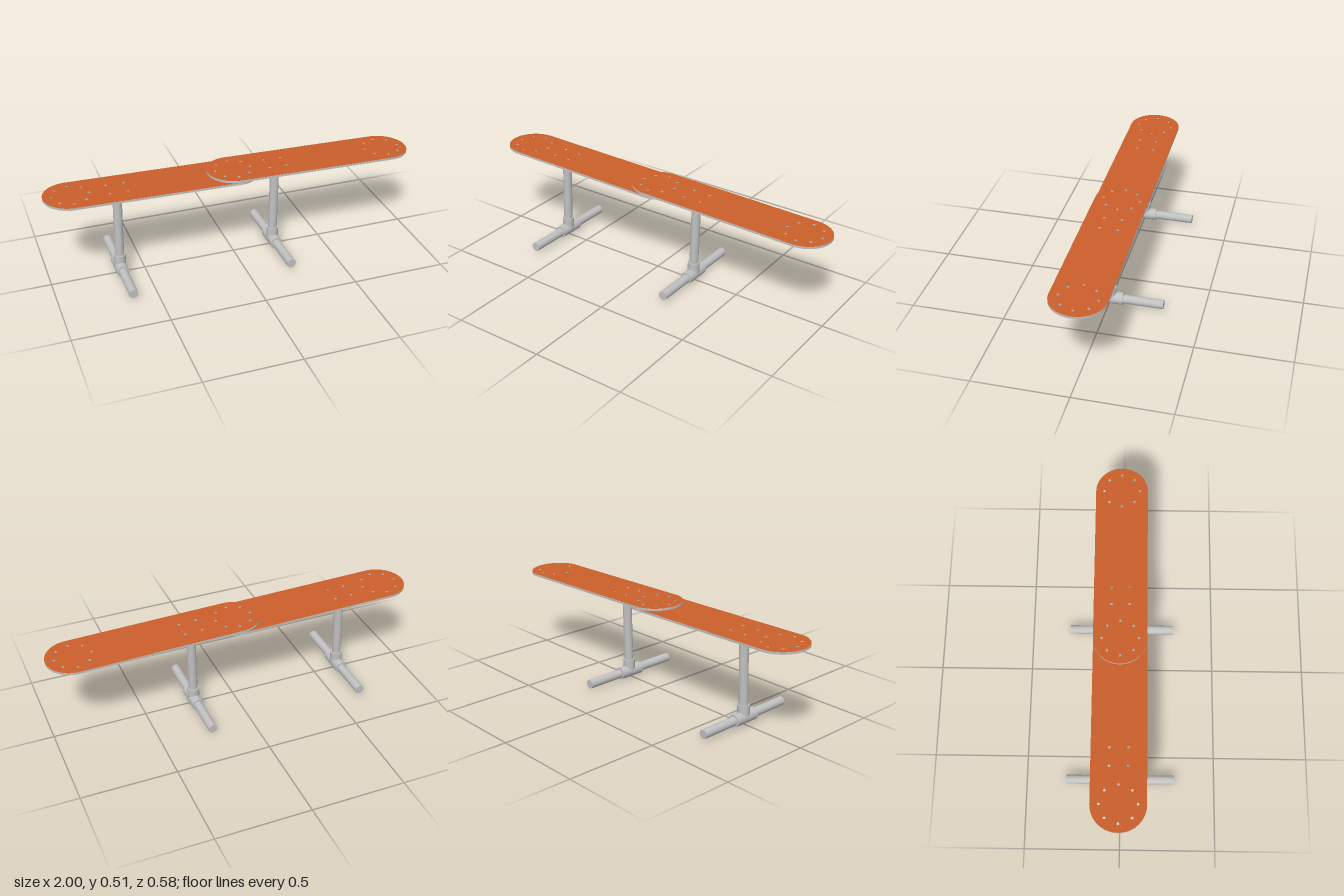
import * as THREE from 'three';

const WIDTH = 0.28, THICK = 0.011, TOP = 0.461;   // board size, and top height above the foot bar axis
const END_L = -0.237, END_R = 0.623;              // centres of the rounded board ends
const TILT_X = -0.012, YAW = 0.003, TILT_Z = -0.02;

const metal = new THREE.MeshStandardMaterial({ color: 0xc0c0c0 });
metal.name = 'light grey';
const orange = new THREE.MeshStandardMaterial({ color: 0xcb5f2b });
orange.name = 'orange';

function add(group, name, geometry, material) {
  const mesh = new THREE.Mesh(geometry, material);
  mesh.name = name;
  group.add(mesh);
  return mesh;
}

// Stadium outline with a ring of eight holes at each end and four mounting holes
function boardShape() {
  const r = WIDTH / 2;
  const shape = new THREE.Shape();
  shape.absarc(END_R, 0, r, -Math.PI / 2, Math.PI / 2, false);
  shape.absarc(END_L, 0, r, Math.PI / 2, Math.PI * 1.5, false);
  shape.closePath();

  const drill = (x, y) => {
    const hole = new THREE.Path();
    hole.absarc(x, y, 0.007, 0, Math.PI * 2, true);
    shape.holes.push(hole);
  };
  for (const cx of [END_L, END_R]) {
    for (let i = 0; i < 8; i++) {
      const a = (i * Math.PI) / 4;
      drill(cx + 0.096 * Math.cos(a), 0.096 * Math.sin(a));
    }
  }
  for (const x of [-0.047, 0.047]) for (const y of [-0.047, 0.047]) drill(x, y);
  return shape;
}

// One bench section: board, flange, post and T-shaped foot, origin on the foot bar axis
function createSection(name) {
  const section = new THREE.Group();
  section.name = name;
  const shape = boardShape();

  const slab = new THREE.ExtrudeGeometry(shape, { depth: THICK, bevelEnabled: false, curveSegments: 32 });
  slab.rotateX(-Math.PI / 2).translate(0, TOP - 0.001 - THICK, 0);
  add(section, 'board', slab, metal);

  const surface = new THREE.ShapeGeometry(shape, 32);
  surface.rotateX(-Math.PI / 2).translate(0, TOP, 0);
  add(section, 'boardSurface', surface, orange);

  // Square flange tapering down to the post
  const flange = new THREE.CylinderGeometry(0.046 * Math.SQRT2, 0.026 * Math.SQRT2, 0.025, 4).toNonIndexed();
  flange.rotateY(Math.PI / 4);
  flange.computeVertexNormals();
  add(section, 'flange', flange, metal).position.y = TOP - 0.0245;

  add(section, 'post', new THREE.CylinderGeometry(0.024, 0.024, 0.42, 40), metal).position.y = 0.23;
  add(section, 'teeSocket', new THREE.CylinderGeometry(0.032, 0.032, 0.07, 40), metal).position.y = 0.035;

  add(section, 'teeSleeve', new THREE.CylinderGeometry(0.033, 0.033, 0.142, 40).rotateX(Math.PI / 2), metal);
  add(section, 'footBar', new THREE.CylinderGeometry(0.024, 0.024, 0.572, 40).rotateX(Math.PI / 2), metal);

  section.rotation.set(TILT_X, YAW, TILT_Z);
  return section;
}

export function createModel() {
  const model = new THREE.Group();
  model.name = 'bench';
  const right = createSection('rightSection');
  right.position.set(-0.632, 0.041, -0.002);
  const left = createSection('leftSection');
  left.position.set(0.228, 0.036, -0.005);
  model.add(right, left);
  return model;
}
